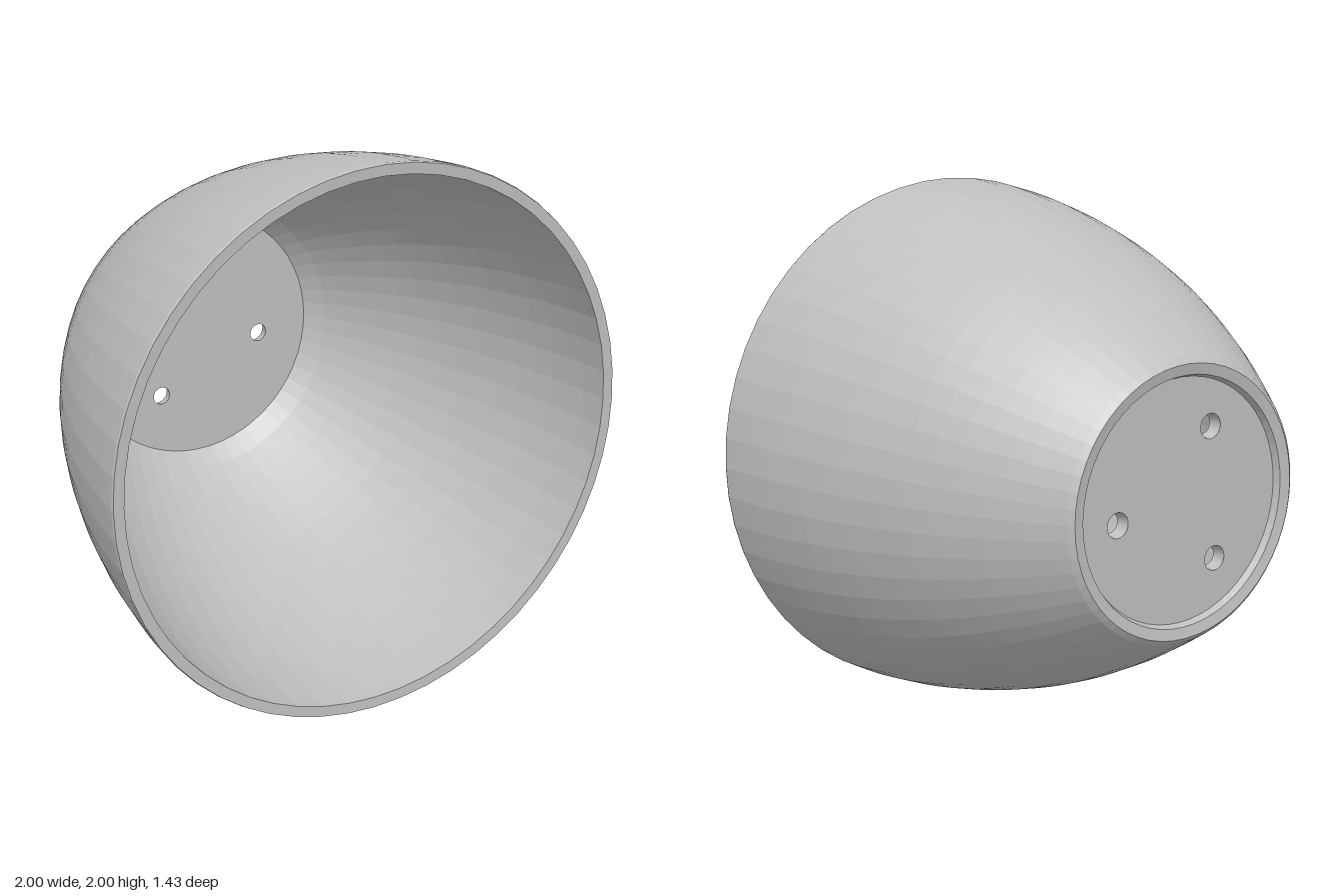
import * as THREE from 'three';

const SEG = 56;
const FLOOR_BACK = -0.685, FLOOR_FRONT = -0.64;
const FLOOR_R = 0.49, RECESS_R = 0.435;
const HOLE_BACK = 0.045, HOLE_FRONT = 0.035;

// Profile of [radius, z] revolved about the z axis
function revolve(profile, segments) {
  const pts = profile.map(([r, z]) => new THREE.Vector2(r, z));
  return new THREE.LatheGeometry(pts, segments).rotateX(Math.PI / 2);
}

// Round plate pierced by the screw holes
function piercedDisc(radius, holeRadius, holes) {
  const shape = new THREE.Shape().absarc(0, 0, radius, 0, Math.PI * 2, false);
  for (const [x, y] of holes) {
    shape.holes.push(new THREE.Path().absarc(x, y, holeRadius, 0, Math.PI * 2, true));
  }
  return new THREE.ShapeGeometry(shape, SEG / 2);
}

export function createModel() {
  const model = new THREE.Group();
  model.name = 'lampShade';
  const grey = new THREE.MeshStandardMaterial({ color: 0xbfbfbf, flatShading: true });
  grey.name = 'light grey';

  const body = new THREE.Group();
  body.name = 'shadeBody';
  body.position.y = 1;
  model.add(body);
  const add = (name, geometry) => {
    const mesh = new THREE.Mesh(geometry, grey);
    mesh.name = name;
    body.add(mesh);
    return mesh;
  };

  // Curved bell wall
  const curve = new THREE.SplineCurve([
    [0.505, -0.7], [0.6, -0.55], [0.685, -0.4], [0.783, -0.2], [0.86, 0],
    [0.92, 0.2], [0.964, 0.4], [0.99, 0.58], [1.0, 0.7],
  ].map(([r, z]) => new THREE.Vector2(r, z)));
  const outer = curve.getPoints(18).map((p) => [p.x, p.y]);
  add('outerWall', revolve([[0.485, -0.718], ...outer, [0.997, 0.71]], SEG));

  // Front rim and inner wall, running down to the floor
  const inner = outer.filter(([, z]) => z > -0.6 && z < 0.69)
    .map(([r, z]) => [r - 0.042, z]).reverse();
  add('frontRim', revolve([[0.997, 0.71], [0.958, 0.708]], SEG));
  add('innerWall', revolve([[0.958, 0.708], ...inner, [FLOOR_R, FLOOR_FRONT]], SEG));

  // Raised foot ring round the recessed back
  add('footRing', revolve([[RECESS_R, FLOOR_BACK], [0.445, -0.71], [0.485, -0.718]], SEG));

  // Floor with three screw holes
  const holes = [-8, 118, 235].map((deg) => {
    const a = THREE.MathUtils.degToRad(deg);
    return [0.28 * Math.cos(a), 0.28 * Math.sin(a)];
  });
  add('floorFront', piercedDisc(FLOOR_R, HOLE_FRONT, holes)).position.z = FLOOR_FRONT;
  const back = add('floorBack', piercedDisc(RECESS_R, HOLE_BACK, holes.map(([x, y]) => [-x, y])));
  back.rotation.y = Math.PI;
  back.position.z = FLOOR_BACK;

  // Tapered bores of the screw holes
  for (const [x, y] of holes) {
    const bore = add('screwHole', revolve([[HOLE_FRONT, FLOOR_FRONT], [HOLE_BACK, FLOOR_BACK]], SEG / 2));
    bore.position.set(x, y, 0);
  }
  return model;
}
